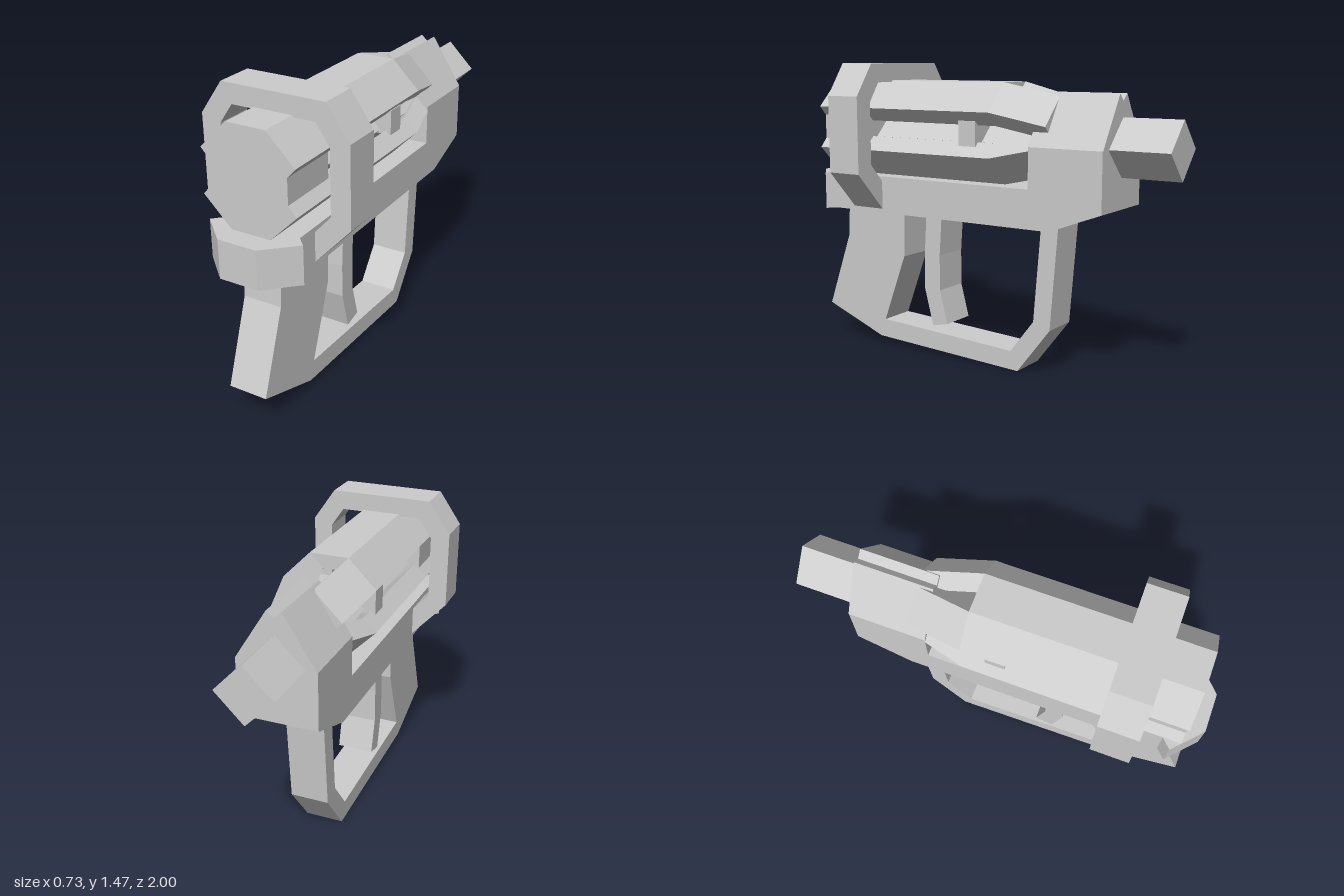
import * as THREE from 'three';

const AXIS = 1.145; // height of the barrel shroud axis

export function createModel() {
  const model = new THREE.Group();
  const grey = new THREE.MeshStandardMaterial({ color: 0xcccccc });
  grey.name = 'grey';

  const toPoints = (pts) => pts.map(([a, b]) => new THREE.Vector2(a, b));
  const add = (name, geometry) => {
    const mesh = new THREE.Mesh(geometry, grey);
    mesh.name = name;
    model.add(mesh);
  };
  // Outline and hole are given clockwise; the hole is reversed so its walls face inwards
  const extrude = (pts, depth, hole) => {
    const shape = new THREE.Shape(toPoints(pts));
    if (hole) shape.holes.push(new THREE.Path(toPoints(hole).reverse()));
    return new THREE.ExtrudeGeometry(shape, { depth, bevelEnabled: false });
  };
  // (x, y) section running from z0 to z1
  const alongZ = (pts, z0, z1, hole) => extrude(pts, z1 - z0, hole).translate(0, 0, z0);
  // (z, y) side profile, centred on x
  const alongX = (pts, width, hole) =>
    extrude(pts, width, hole).translate(0, 0, -width / 2).rotateY(-Math.PI / 2);
  // (x, z) plan from y0 to y1
  const alongY = (pts, y0, y1) => extrude(pts, y1 - y0).rotateX(Math.PI / 2).translate(0, y1, 0);
  // Completes a half outline by mirroring it in x
  const flip = (pts) => pts.slice().reverse().map(([x, y]) => [-x, y]);
  const mirror = (pts) => [...pts, ...flip(pts)];

  // Lower frame with sloped nose
  add('frame', alongX([[0.85, 0.722], [0.85, 0.907], [-0.335, 0.907], [-0.335, 1.1],
    [-0.71, 1.1], [-0.71, 0.822], [-0.44, 0.722]], 0.38));
  add('frameEndCap', alongY(mirror([[0.095, 1], [0.235, 0.87], [0.19, 0.825]]), 0.722, 0.907));

  // Pitched muzzle housing with a shallow groove along its ridge
  add('muzzleHousing', alongZ([[0, 1.31], [0.035, 1.342], [0.19, 1.1],
    [-0.19, 1.1], [-0.035, 1.342]], -0.712, -0.335));

  // Square barrel standing on its edge
  add('barrel', alongZ([[0, 0.967], [0.135, 1.102], [0, 1.237], [-0.135, 1.102]], -1, 0.7));

  // Shroud: end cap, two bent shells and tapering fins
  add('shroudCap', alongZ(mirror([[0.095, AXIS + 0.24], [0.23, AXIS + 0.105], [0.19, AXIS + 0.06],
    [0.19, AXIS - 0.06], [0.23, AXIS - 0.105], [0.095, AXIS - 0.24]]), 0.6, 0.9));
  const plate = [[0.095, 0.24], [0.23, 0.105], [0.165, 0.04], [0.03, 0.175]];
  for (const sy of [1, -1]) {
    const place = (sx) => ([x, y]) => [sx * x, AXIS + sy * y];
    const half = plate.map(place(1));
    const section = [...half, ...flip(half)];
    add(sy > 0 ? 'upperShell' : 'lowerShell', alongZ(section, -0.145, 0.65));

    for (const sx of [1, -1]) {
      const fin = alongZ(plate.map(place(sx)), -0.415, -0.145);
      const p = fin.attributes.position;
      for (let i = 0; i < p.count; i++) {
        if (p.getZ(i) < -0.4) {
          p.setXY(i, p.getX(i) - sx * 0.055, p.getY(i) - sy * 0.058);
        }
      }
      fin.computeVertexNormals();
      add((sy > 0 ? 'upper' : 'lower') + (sx > 0 ? 'Left' : 'Right') + 'Fin', fin);
    }
  }

  // Small spacer between the shells
  add('shellSpacer', new THREE.BoxGeometry(0.38, 0.12, 0.095).translate(0, AXIS, 0.003));

  // Octagonal band around the shroud
  add('band', alongZ(
    mirror([[0.255, 1.47], [0.365, 1.312], [0.365, 0.932], [0.19, 0.742]]), 0.526, 0.713,
    mirror([[0.205, 1.377], [0.27, 1.282], [0.27, 0.972], [0.185, 0.877]])));

  // Grip and guard in one loop
  add('gripAndGuard', alongX(
    [[0.83, 0.76], [0.835, 0.722], [0.845, 0.556], [0.985, 0.167], [0.63, 0.036],
      [-0.225, 0], [-0.402, 0.23], [-0.442, 0.722], [-0.4, 0.76]], 0.19,
    [[0.46, 0.74], [0.467, 0.485], [0.6, 0.13], [-0.185, 0.095], [-0.312, 0.26], [-0.352, 0.74]]));

  // Curved trigger
  add('trigger', alongX([[0.32, 0.74], [0.335, 0.497], [0.335, 0.336], [0.285, 0.146],
    [0.195, 0.167], [0.24, 0.336], [0.24, 0.517], [0.225, 0.74]], 0.186));

  return model;
}
